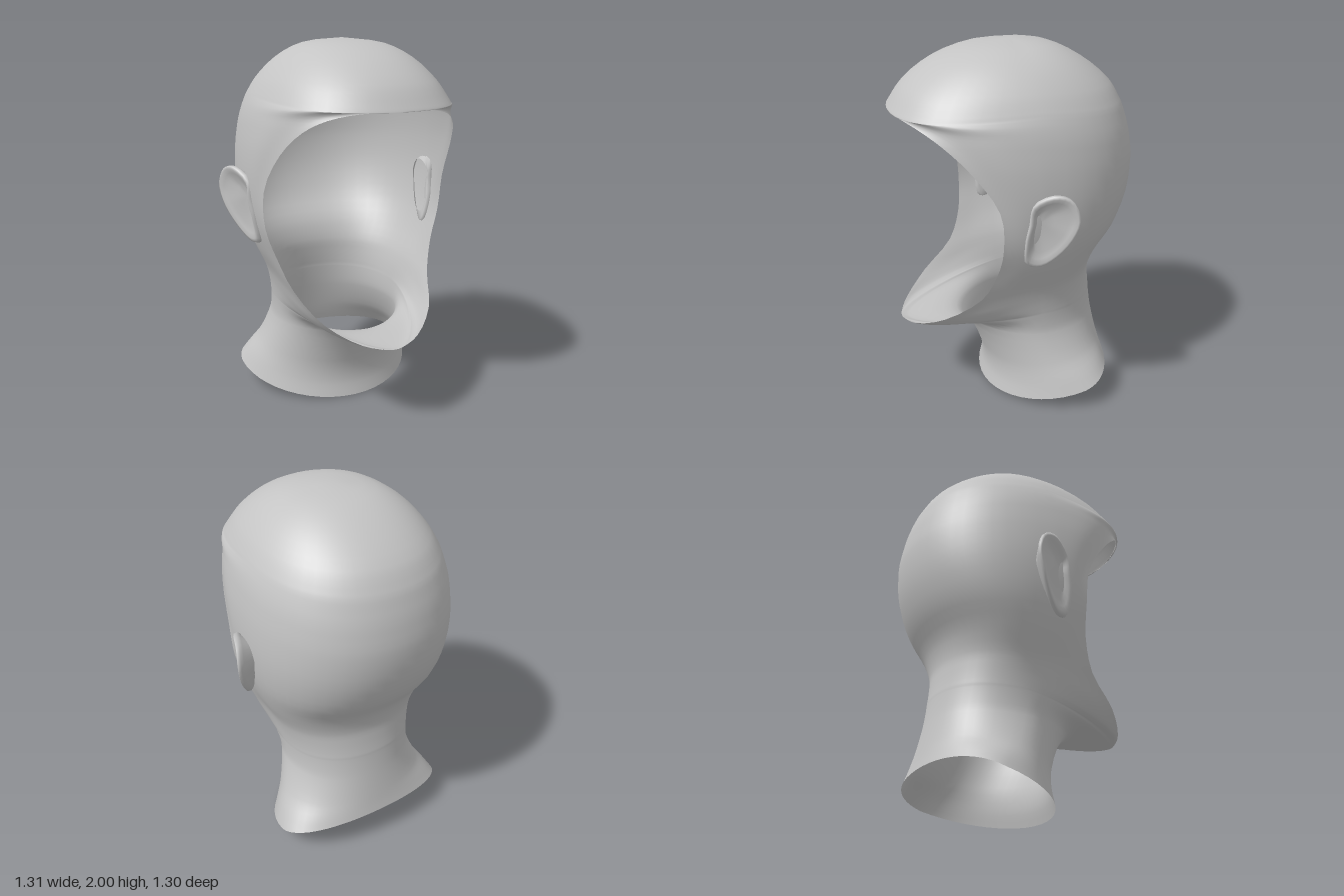
import * as THREE from 'three';
import { mergeVertices } from 'three/addons/utils/BufferGeometryUtils.js';

const V = (x, y, z) => new THREE.Vector3(x, y, z);

// Each row is one band around the head: back centre (y, z), side (x, y, z), front end (x, y, z),
// and optionally how full the front curve is
const skullRows = [
  [2.0, 0.0, 0, 2.0, 0.0, 0, 2.0, 0.0],
  [1.978, -0.2, 0.215, 1.97, 0.01, 0, 1.975, 0.23],
  [1.9, -0.37, 0.345, 1.9, 0, 0, 1.905, 0.42, 0.61],
  [1.78, -0.52, 0.442, 1.8, -0.01, 0, 1.79, 0.57, 0.65],
  [1.69, -0.576, 0.488, 1.725, -0.02, 0, 1.695, 0.635, 0.69],
  [1.67, -0.586, 0.497, 1.707, -0.02, 0, 1.67, 0.65, 0.7],
  [1.65, -0.594, 0.504, 1.692, -0.02, 0.06, 1.669, 0.645, 0.69],
  [1.61, -0.607, 0.517, 1.66, -0.02, 0.2, 1.664, 0.613, 0.65],
  [1.56, -0.622, 0.53, 1.615, -0.025, 0.33, 1.633, 0.54],
  [1.5, -0.635, 0.541, 1.56, -0.03, 0.42, 1.572, 0.452],
  [1.38, -0.65, 0.557, 1.43, -0.03, 0.49, 1.45, 0.33],
  [1.2, -0.63, 0.558, 1.25, -0.04, 0.53, 1.25, 0.2],
  [1.03, -0.565, 0.53, 1.05, -0.05, 0.52, 1.05, 0.18],
];
const jawAndNeckRows = [
  [0.89, -0.47, 0.475, 0.88, -0.05, 0.465, 0.88, 0.2],
  [0.77, -0.435, 0.412, 0.745, -0.06, 0.405, 0.72, 0.27],
  [0.69, -0.438, 0.388, 0.665, -0.07, 0.31, 0.58, 0.45, 0.5],
  [0.63, -0.445, 0.377, 0.605, -0.075, 0.16, 0.495, 0.585, 0.42],
  [0.603, -0.449, 0.373, 0.576, -0.08, 0.05, 0.472, 0.633, 0.37],
  [0.594, -0.45, 0.372, 0.568, -0.08, 0, 0.468, 0.64, 0.36],
  [0.582, -0.451, 0.371, 0.557, -0.08, 0, 0.463, 0.6, 0.36],
  [0.52, -0.459, 0.368, 0.5, -0.09, 0, 0.474, 0.4, 0.41],
  [0.45, -0.47, 0.372, 0.435, -0.11, 0, 0.44, 0.285, 0.47],
  [0.32, -0.494, 0.425, 0.28, -0.17, 0, 0.22, 0.175, 0.52],
  [0.25, -0.508, 0.48, 0.19, -0.24, 0, 0.1, 0.16, 0.54],
  [0.2, -0.52, 0.52, 0.12, -0.29, 0, 0.0, 0.18, 0.54],
];

// Smooth surface through rows of points
function loft(rows, flip) {
  const n = rows[0].length, pos = [], index = [];
  rows.forEach(r => (flip ? [...r].reverse() : r).forEach(p => pos.push(p.x, p.y, p.z)));
  for (let i = 0; i < rows.length - 1; i++) {
    for (let j = 0; j < n - 1; j++) {
      const a = i * n + j, c = a + n;
      index.push(a, a + 1, c, a + 1, c + 1, c);
    }
  }
  let geo = new THREE.BufferGeometry();
  geo.setAttribute('position', new THREE.Float32BufferAttribute(pos, 3));
  geo.setIndex(index);
  geo = mergeVertices(geo, 1e-4);
  geo.computeVertexNormals();
  return geo;
}

// Half band from back centre round the side to the front end
function halfBand([yb, zb, w, ys, zs, xf, yf, zf, kf = 0.59], steps) {
  const k = 0.62, turn = 1 - (w ? xf / w : 0);
  const back = new THREE.CubicBezierCurve3(
    V(0, yb, zb), V(k * w, yb, zb), V(w, ys + k * (yb - ys), zs + k * (zb - zs)), V(w, ys, zs));
  const front = new THREE.CubicBezierCurve3(
    V(w, ys, zs), V(w, ys + kf * (yf - ys), zs + kf * (zf - zs)),
    V(xf + kf * (w - xf), yf, zf - (1 - turn) * 0.4 * (zf - zs)), V(xf, yf, zf));
  return [...back.getPoints(steps), ...front.getPoints(steps).slice(1)];
}

function headGeometry() {
  const bands = [...skullRows, ...jawAndNeckRows].map(r => halfBand(r, 12));
  const samples = (bands.length - 1) * 3;
  // Smooth every column from the crown down to the neck edge
  const columns = bands[0].map((_, j) =>
    new THREE.CatmullRomCurve3(bands.map(b => b[j])).getPoints(samples));
  const rows = [];
  for (let i = 0; i <= samples; i++) {
    const half = columns.map(c => V(Math.max(0, c[i].x), c[i].y, c[i].z));
    half[0].x = 0;
    const mirrored = half.slice(1).reverse().map(p => V(-p.x, p.y, p.z));
    rows.push([...mirrored, ...half]);
  }
  return loft(rows, false);
}

// Ear: one outline drawn in from the root, over the rim and into the hollow
function earGeometry(side) {
  const outline = new THREE.CatmullRomCurve3([
    V(0.565, 1.28, 0.045), V(0.615, 1.345, -0.05), V(0.64, 1.325, -0.13), V(0.655, 1.23, -0.172),
    V(0.635, 1.12, -0.145), V(0.58, 1.0, -0.075), V(0.535, 0.937, 0), V(0.52, 0.95, 0.06),
    V(0.545, 1.08, 0.075), V(0.56, 1.18, 0.06)], true).getPoints(32);
  const centre = V(0.59, 1.17, -0.03), hollow = V(0.575, 1.19, 0.0);
  const ring = (scale, dx, middle = centre) => outline.map(p => {
    const q = middle.clone().lerp(p, scale);
    return V((q.x + dx) * side, q.y, q.z);
  });
  const root = outline.map(p => {
    const q = centre.clone().lerp(p, 0.72);
    return V((0.54 - Math.max(0, 1.15 - q.y) * 0.25) * side, q.y, q.z);
  });
  const rows = [root, ring(0.93, -0.035), ring(1, -0.018), ring(0.98, 0), ring(0.9, 0.003),
    ring(0.78, -0.006), ring(0.62, -0.016), ring(0.35, -0.02, hollow), ring(0, -0.025, hollow)];
  return loft(rows, side > 0);
}

export function createModel() {
  const group = new THREE.Group();
  group.name = 'openFaceHead';
  const grey = new THREE.MeshStandardMaterial({ color: 0xc4c4c4, side: THREE.DoubleSide });
  grey.name = 'light grey';

  const add = (geometry, name) => {
    const mesh = new THREE.Mesh(geometry, grey);
    mesh.name = name;
    group.add(mesh);
  };
  add(headGeometry(), 'headAndNeckShell');
  add(earGeometry(1), 'leftEar');
  add(earGeometry(-1), 'rightEar');
  return group;
}
